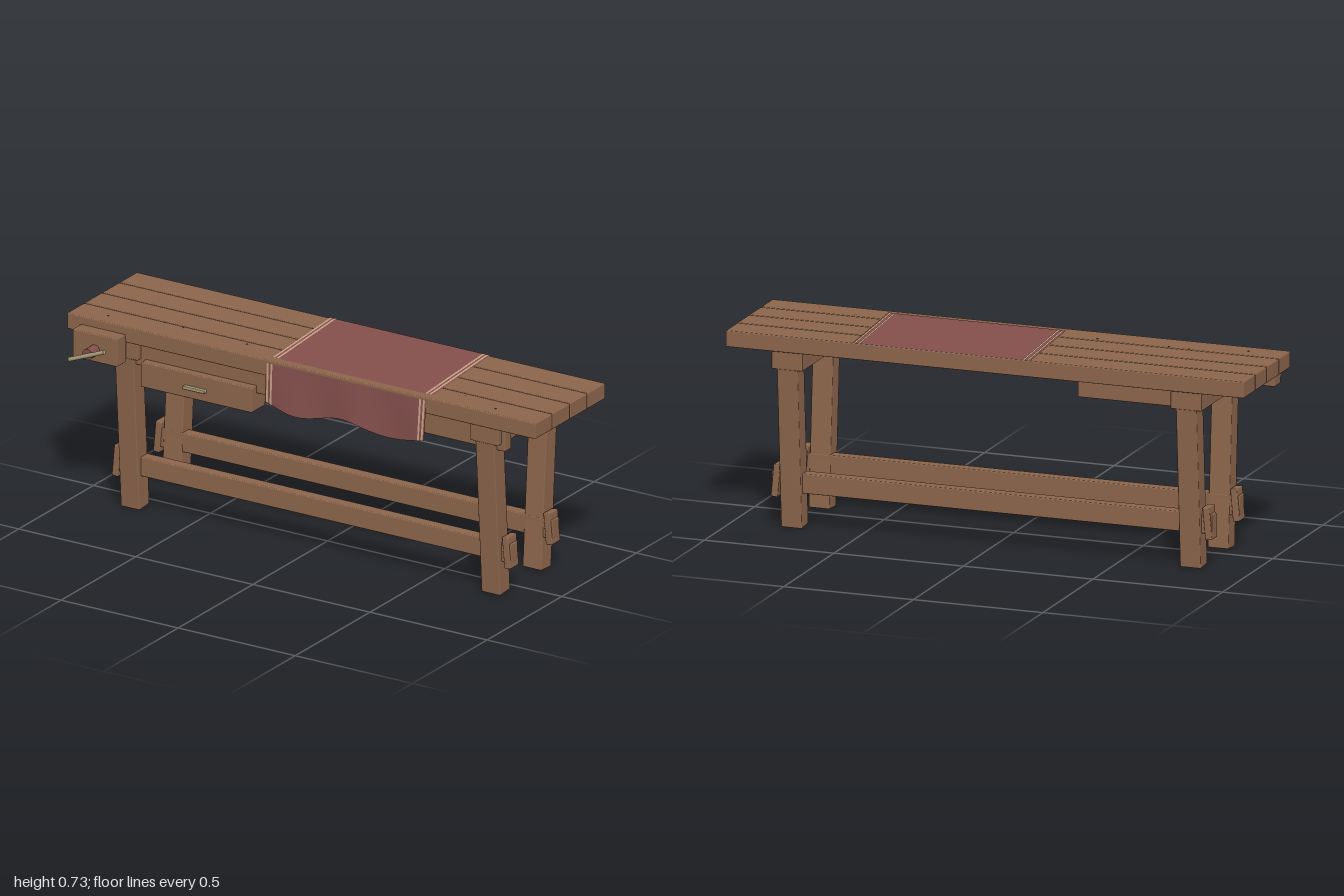
import * as THREE from 'three';
import { RoundedBoxGeometry } from 'three/addons/geometries/RoundedBoxGeometry.js';

const mat = (name, color, side = THREE.FrontSide) => {
  const m = new THREE.MeshStandardMaterial({ color, side });
  m.name = name;
  return m;
};

export function createModel() {
  const model = new THREE.Group();
  model.name = 'workbench';
  const wood = mat('brown wood', 0x8b654b);
  const darkWood = mat('dark wood', 0x4a3527);
  const clothRed = mat('dusty red cloth', 0x834f4c, THREE.DoubleSide);
  const tan = mat('tan thread', 0xc4a284, THREE.DoubleSide);
  const screwRed = mat('red screw', 0x834f4c);
  const brass = mat('dull brass', 0xa89a78);

  const add = (name, geometry, material, parent = model) => {
    const mesh = new THREE.Mesh(geometry, material);
    mesh.name = name;
    parent.add(mesh);
    return mesh;
  };
  // Softly bevelled block given by its lower and upper limits
  const block = (name, [x0, x1], [y0, y1], [z0, z1], material = wood, r = 0.004) => {
    const m = add(name, new RoundedBoxGeometry(x1 - x0, y1 - y0, z1 - z0, 2, r), material);
    m.position.set((x0 + x1) / 2, (y0 + y1) / 2, (z0 + z1) / 2);
    return m;
  };

  // Bench top
  for (let i = 0; i < 4; i++) {
    const z = 0.178 - i * 0.1177;
    block('topPlank', [-1, 1], [0.67, 0.731], [z - 0.1155, z]);
  }
  // Small nail marks in the front plank
  for (const [x, z] of [[-0.86, 0.12], [-0.65, 0.07], [-0.57, 0.075], [-0.29, 0.085], [0.64, 0.08], [0.8, 0.13]]) {
    const mark = add('nailMark', new THREE.CylinderGeometry(0.004, 0.004, 0.002, 8), darkWood);
    mark.position.set(x, 0.731, z);
  }

  // Front apron and the beams across each end
  block('frontApron', [-0.845, 0.845], [0.574, 0.672], [0.095, 0.137]);
  for (const s of [-1, 1]) {
    block('crossBeam', [s * 0.77 - 0.06, s * 0.77 + 0.06], [0.6, 0.672], [-0.272, 0.16]);
  }

  // Splayed legs: lower and upper centres along z
  for (const s of [-1, 1]) {
    for (const [zLow, zHigh] of [[0.081, 0.122], [-0.194, -0.236]]) {
      const tilt = Math.atan2(zHigh - zLow, 0.6);
      const leg = add('leg', new RoundedBoxGeometry(0.08, 0.612, 0.069, 2, 0.004), wood);
      leg.position.set(s * 0.77, 0.309, (zLow + zHigh) / 2);
      leg.rotation.x = tilt;
    }
  }

  // Long stretchers, each held by a leaning wedge at both ends
  for (const z of [0.082, -0.195]) {
    block('stretcher', [-0.85, 0.85], [0.131, 0.205], [z - 0.023, z + 0.023]);
    for (const s of [-1, 1]) {
      const wedge = block('wedge', [s * 0.833 - 0.013, s * 0.833 + 0.013], [0.11, 0.231], [z - 0.03, z + 0.03]);
      wedge.rotation.z = s * 0.09;
    }
  }

  // Drawer with a bar pull
  block('drawer', [-0.69, -0.216], [0.508, 0.604], [0.079, 0.17]);
  block('drawerPull', [-0.502, -0.408], [0.545, 0.557], [0.168, 0.186], brass, 0.003);

  // Front vise
  block('viseJaw', [-0.941, -0.75], [0.592, 0.7], [0.172, 0.233]);
  const screw = add('viseScrew', new THREE.CylinderGeometry(0.021, 0.021, 0.06, 16), screwRed);
  screw.rotation.x = Math.PI / 2;
  screw.position.set(-0.845, 0.638, 0.254);
  const bar = add('viseHandle', new THREE.CylinderGeometry(0.008, 0.008, 0.162, 12), brass);
  bar.position.set(-0.847, 0.633, 0.284);
  bar.rotation.z = -Math.PI / 2 + 0.38;

  // Cloth: a sheet is a plane whose vertices follow a surface rule
  const sheet = (name, u0, u1, rule, material, lift, columns, rows) => {
    const g = new THREE.PlaneGeometry(1, 1, columns, rows);
    const p = g.attributes.position;
    for (let i = 0; i < p.count; i++) {
      const u = u0 + (u1 - u0) * (p.getX(i) + 0.5);
      p.setXYZ(i, ...rule(u, 0.5 - p.getY(i), lift));
    }
    g.computeVertexNormals();
    add(name, g, material);
  };
  const width = 0.687;
  const flat = (u, t, lift) => [-0.178 + 0.032 * t + width * u, 0.7325 + lift, -0.291 + 0.437 * t];
  const hanging = (u, t, lift) => {
    const x = -0.15 + width * u;
    const hem = 0.56 - 0.015 * Math.cos((x * 2 * Math.PI) / 0.39);
    const fold = 0.01 + 0.008 * Math.cos(((x + 0.03) * 2 * Math.PI) / 0.29);
    return [x, 0.722 + (hem - 0.722) * t, 0.18 + fold * t + lift];
  };
  sheet('clothTop', 0, 1, flat, clothRed, 0, 1, 1);
  sheet('clothDrape', 0, 1, hanging, clothRed, 0, 48, 8);
  // Paired stripes near each end
  for (const u of [0.014, 0.038, 0.962, 0.986]) {
    sheet('topStripe', u - 0.006, u + 0.006, flat, tan, 0.0015, 1, 1);
    sheet('drapeStripe', u - 0.006, u + 0.006, hanging, tan, 0.0015, 2, 8);
  }

  return model;
}
